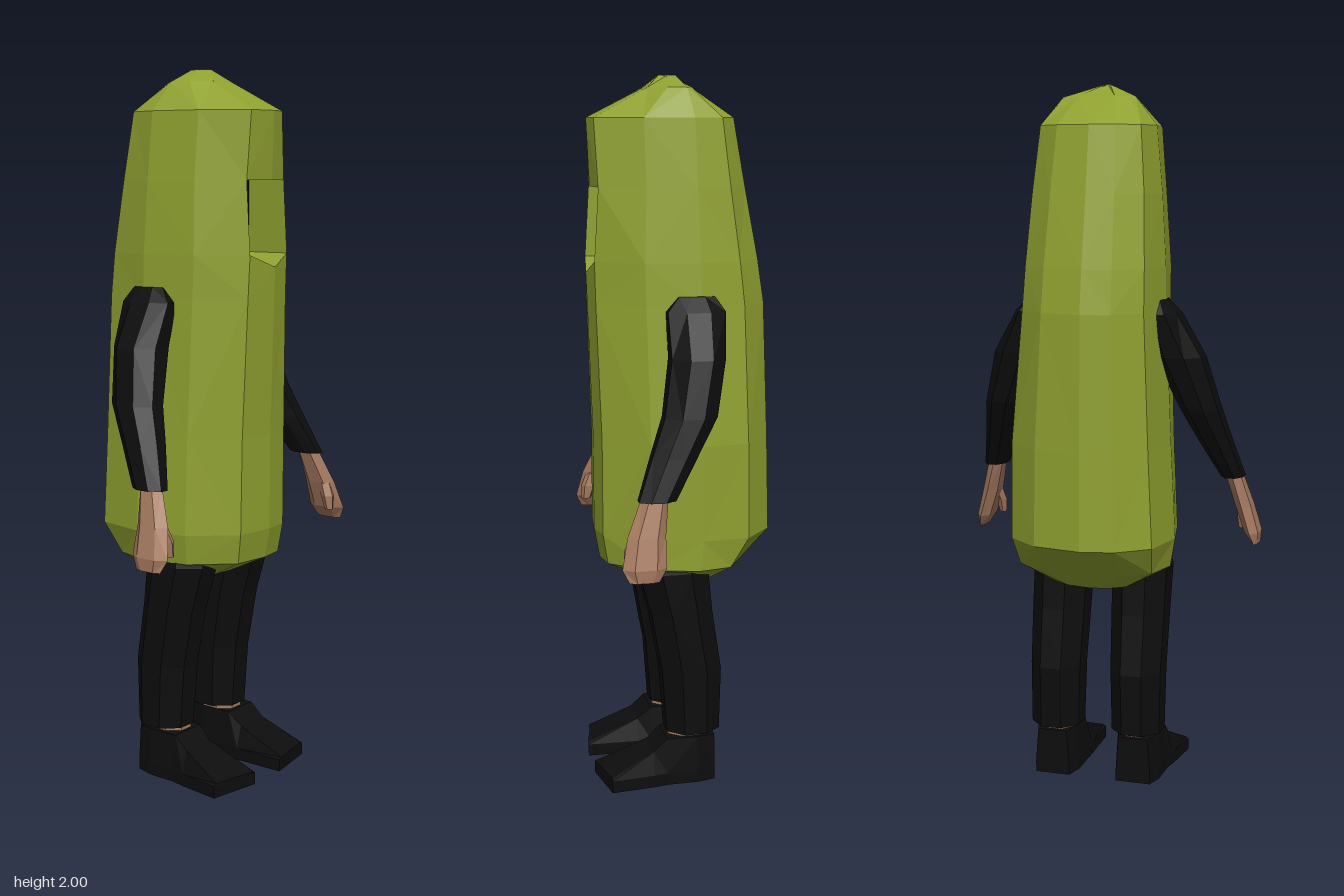
import * as THREE from 'three';

const paint = (name, color, side = THREE.FrontSide) => {
  const m = new THREE.MeshStandardMaterial({ color, flatShading: true, side });
  m.name = name;
  return m;
};

export function createModel() {
  const model = new THREE.Group();
  model.name = 'costumedFigure';
  const green = paint('costume green', 0x8fa030, THREE.DoubleSide);
  const black = paint('black cloth', 0x0d0d0e);
  const skin = paint('skin', 0xa67a60);
  const hair = paint('black hair', 0x0a0808);
  const lips = paint('lips', 0x8a5f50);

  const add = (name, geometry, material, parent = model) => {
    const mesh = new THREE.Mesh(geometry, material);
    mesh.name = name;
    parent.add(mesh);
    return mesh;
  };

  // Flat-faced skin over rings of points, capped at both ends; skip() leaves openings
  const loft = (rings, skip = () => false) => {
    const out = [];
    const tri = (...pts) => pts.forEach((p) => out.push(...p));
    const n = rings[0].length;
    const middle = (ring) => [0, 1, 2].map((k) => ring.reduce((s, p) => s + p[k], 0) / n);
    for (let i = 0; i < rings.length - 1; i++) {
      for (let j = 0; j < n; j++) {
        if (skip(i, j)) continue;
        const k = (j + 1) % n;
        const [a, b, c, d] = [rings[i][j], rings[i][k], rings[i + 1][k], rings[i + 1][j]];
        if ((i + j) % 2) tri(a, d, b, b, d, c);
        else tri(a, d, c, a, c, b);
      }
    }
    const first = rings[0], last = rings[rings.length - 1];
    for (let j = 0; j < n; j++) {
      const k = (j + 1) % n;
      tri(first[j], first[k], middle(first));
      tri(last[k], last[j], middle(last));
    }
    const g = new THREE.BufferGeometry();
    g.setAttribute('position', new THREE.Float32BufferAttribute(out, 3));
    g.computeVertexNormals();
    return g;
  };

  // Level oval ring: height, centre and half size in x, centre and half size in z
  const oval = (n) => ([y, xc, hx, zc, hz]) => Array.from({ length: n }, (_, j) => {
    const t = ((j + 0.5) / n) * Math.PI * 2;
    const f = 1 / Math.cos(Math.PI / n);
    return [xc + hx * f * Math.cos(t), y, zc + hz * f * Math.sin(t)];
  });
  const limb = (rows, s, n = 8) => loft(rows.map(([y, x, ...rest]) => oval(n)([y, s * x, ...rest])));

  // Costume: faceted tall body, front columns 2 to 4 frame the face opening
  const outline = [[1, -0.1], [0.87, 0.48], [0.43, 0.95], [0.08, 1], [-0.42, 0.95], [-0.87, 0.5],
    [-1, -0.1], [-0.87, -0.66], [-0.5, -0.92], [-0.1, -1], [0.5, -0.9], [0.91, -0.6]];
  const levels = [ // y, right x, left x, front z, back z
    [0.59, -0.12, 0.12, 0.12, -0.12],
    [0.645, -0.218, 0.226, 0.235, -0.18],
    [0.73, -0.238, 0.234, 0.25, -0.266],
    [1.0, -0.226, 0.236, 0.25, -0.264],
    [1.38, -0.208, 0.203, 0.262, -0.256],
    [1.5, -0.203, 0.196, 0.265, -0.235],
    [1.7, -0.19, 0.178, 0.252, -0.19],
    [1.885, -0.175, 0.157, 0.26, -0.157],
    [1.965, -0.105, 0.105, 0.1, -0.03],
    [2.0, -0.025, -0.015, 0.055, 0.045],
  ];
  const body = levels.map(([y, x0, x1, zf, zb], i) => outline.map(([u, v], j) => {
    const front = j >= 2 && j <= 4;
    const f = front || i < 2 || i > 7 ? 1 : 1 - 0.03 * Math.abs(Math.sin(i * 7 + j * 3));
    const dip = i === 5 && j === 3 ? -0.035 : 0;
    let x = u * f * (u > 0 ? x1 : -x0);
    if (front && (i === 5 || i === 6)) x = [0.088, 0.015, -0.083][j - 2];
    return [x, y + dip, v * f * (v > 0 ? zf : -zb)];
  }));
  add('costumeBody', loft(body, (i, j) => i === 5 && (j === 2 || j === 3)), green);

  // Lining of the face opening
  const rim = [body[5][2], body[5][3], body[5][4], body[6][4], body[6][3], body[6][2]];
  const lining = [];
  rim.forEach((a, j) => {
    const b = rim[(j + 1) % rim.length];
    const [c, d] = [b, a].map(([x, y]) => [x, y, 0.05]);
    [a, b, c, a, c, d].forEach((p) => lining.push(...p));
  });
  const liningGeometry = new THREE.BufferGeometry();
  liningGeometry.setAttribute('position', new THREE.Float32BufferAttribute(lining, 3));
  liningGeometry.computeVertexNormals();
  add('openingLining', liningGeometry, green);

  // Head with flat face at z = 0.115
  const head = new THREE.Group();
  head.name = 'head';
  model.add(head);
  const headRing = ([y, w]) => [[w, y, 0.07], [w * 0.75, y, 0.115], [-w * 0.75, y, 0.115],
    [-w, y, 0.07], [-w, y, -0.06], [w, y, -0.06]];
  add('skull', loft([[1.44, 0.07], [1.52, 0.095], [1.72, 0.1]].map(headRing)), skin, head);
  const plate = (name, points, material, z = 0.116, hole) => {
    const toPath = (P, list) => new P(list.map(([x, y]) => new THREE.Vector2(x, y)));
    const shape = toPath(THREE.Shape, points);
    if (hole) shape.holes.push(toPath(THREE.Path, hole));
    const g = new THREE.ExtrudeGeometry(shape, { depth: 0.005, bevelEnabled: false });
    add(name, g.translate(0, 0, z), material, head);
  };
  // Hair, sideburns and beard in one frame around the face
  plate('hairAndBeard',
    [[-0.09, 1.715], [-0.09, 1.53], [-0.05, 1.475], [0, 1.462], [0.05, 1.475], [0.09, 1.53], [0.09, 1.715]],
    hair, 0.116,
    [[-0.072, 1.675], [0.072, 1.675], [0.072, 1.555], [0.05, 1.535], [-0.05, 1.535], [-0.072, 1.555]]);
  plate('moustache',
    [[-0.055, 1.53], [0.055, 1.53], [0.045, 1.55], [0.012, 1.562], [-0.012, 1.562], [-0.045, 1.55]], hair);
  plate('mouth', [[-0.03, 1.519], [0.03, 1.519], [0.026, 1.53], [-0.026, 1.53]], lips, 0.119);
  add('nose', new THREE.CylinderGeometry(0.006, 0.016, 0.055, 4), skin, head).position.set(0, 1.592, 0.118);

  for (const s of [1, -1]) {
    const side = s > 0 ? 'left' : 'right';
    const name = (part) => side + part;

    // Eye and brow
    add(name('Eye'), new THREE.BoxGeometry(0.036, 0.008, 0.006), hair, head).position.set(s * 0.038, 1.622, 0.118);
    add(name('Brow'), new THREE.BoxGeometry(0.042, 0.005, 0.006), hair, head).position.set(s * 0.039, 1.638, 0.118);

    // Sleeve, hand and thumb
    add(name('Sleeve'), limb([
      [0.89, 0.366, 0.032, 0.135, 0.05],
      [1.0, 0.326, 0.044, 0.08, 0.062],
      [1.1, 0.293, 0.054, 0.03, 0.072],
      [1.25, 0.238, 0.068, -0.002, 0.074],
      [1.37, 0.195, 0.042, -0.008, 0.08],
      [1.41, 0.188, 0.014, -0.012, 0.05],
    ], s), black);
    add(name('Hand'), limb([
      [0.685, 0.428, 0.008, 0.18, 0.035],
      [0.72, 0.418, 0.02, 0.178, 0.052],
      [0.8, 0.394, 0.023, 0.168, 0.045],
      [0.9, 0.366, 0.022, 0.14, 0.032],
    ], s, 6), skin);
    add(name('Thumb'), limb([
      [0.72, 0.378, 0.008, 0.212, 0.012],
      [0.76, 0.38, 0.013, 0.205, 0.018],
      [0.82, 0.39, 0.012, 0.18, 0.016],
    ], s, 5), skin);

    // Trouser leg and bare ankle
    add(name('Leg'), limb([
      [0.148, 0.123, 0.072, -0.012, 0.077],
      [0.33, 0.122, 0.075, -0.008, 0.086],
      [0.5, 0.121, 0.079, 0.02, 0.088],
      [0.63, 0.12, 0.081, 0.045, 0.1],
      [0.72, 0.11, 0.07, 0.045, 0.09],
    ], s), black);
    add(name('Ankle'), limb([
      [0.1, 0.12, 0.052, 0, 0.06],
      [0.2, 0.12, 0.052, 0, 0.06],
    ], s), skin);

    // Shoe: sections from heel to toe as z, inner x, outer x, top y, top inset
    const shoe = [
      [-0.072, -0.072, 0.072, 0.175, 0.134, 0.008],
      [-0.02, -0.02, 0.058, 0.19, 0.137, 0.006],
      [0.07, 0.07, 0.058, 0.192, 0.136, 0.01],
      [0.11, 0.11, 0.057, 0.2, 0.1, 0.018],
      [0.262, 0.235, 0.06, 0.215, 0.04, 0.01],
    ].map(([zi, zo, xi, xo, top, inset]) => {
      const ring = [[s * xo, 0, zo], [s * xo, 0.035, zo], [s * (xo - inset), top, zo],
        [s * (xi + inset), top, zi], [s * xi, 0.035, zi], [s * xi, 0, zi]];
      return s > 0 ? ring.reverse() : ring;
    });
    add(name('Shoe'), loft(shoe), black);
  }
  return model;
}
